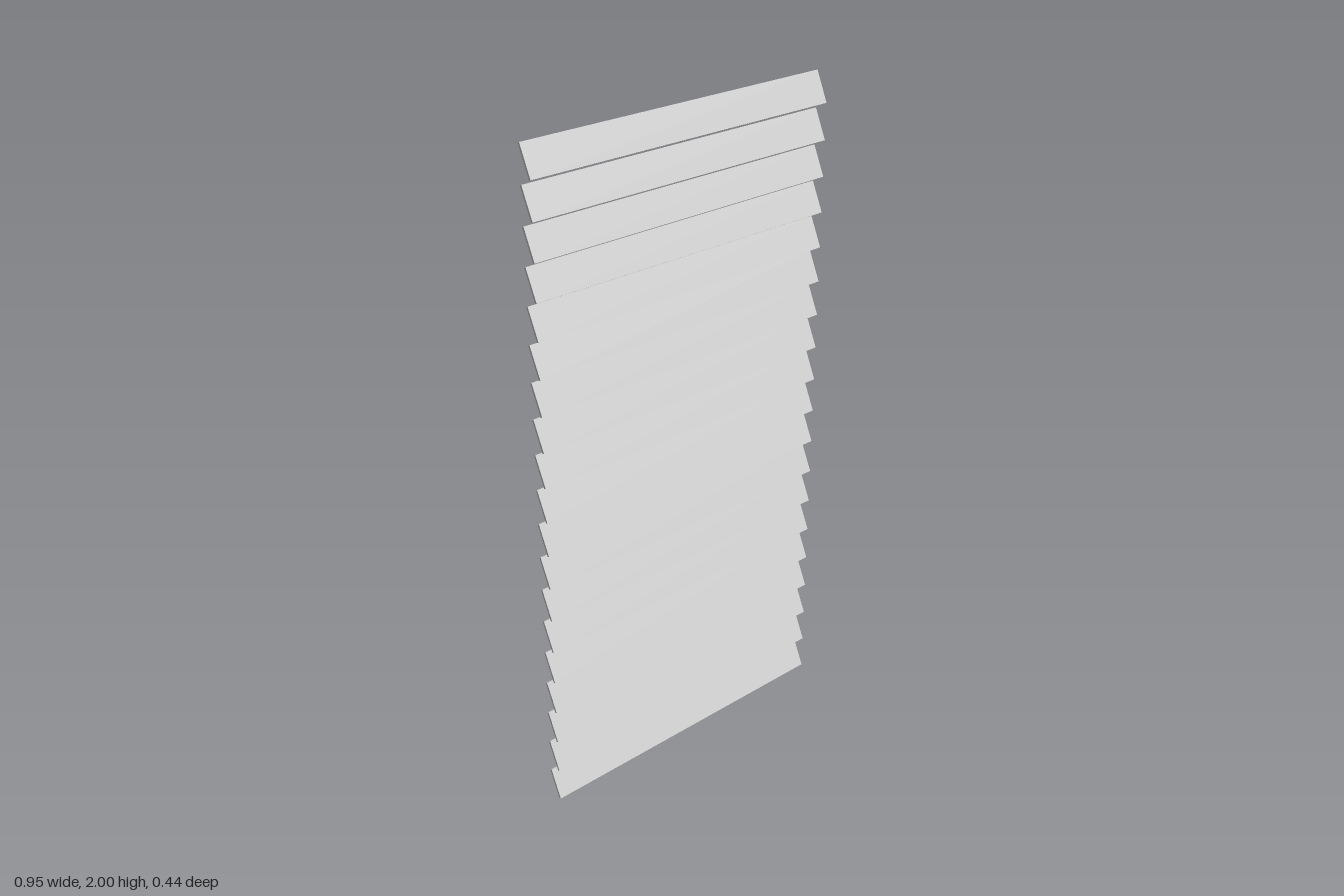
import * as THREE from 'three';

const SLATS = 19;
const LENGTH = 1.014, WIDTH = 0.094, THICKNESS = 0.007;
const TILT = THREE.MathUtils.degToRad(25);
const YAW = THREE.MathUtils.degToRad(23.2);

export function createModel() {
  const model = new THREE.Group();
  model.name = 'louverBlind';

  const material = new THREE.MeshStandardMaterial({ color: 0xcccccc, flatShading: true });
  const geometry = new THREE.BoxGeometry(LENGTH, WIDTH, THICKNESS);

  // Height of one tilted slat and the even spacing that fills 2 units
  const slatHeight = WIDTH * Math.cos(TILT) + THICKNESS * Math.sin(TILT);
  const pitch = (2 - slatHeight) / (SLATS - 1);

  // Stack of slats, each leaning back at its top edge
  for (let i = 0; i < SLATS; i++) {
    const slat = new THREE.Mesh(geometry, material);
    slat.name = `slat${i + 1}`;
    slat.position.y = slatHeight / 2 + i * pitch;
    slat.rotation.x = -TILT;
    model.add(slat);
  }

  // The whole blind is turned about the vertical axis
  model.rotation.y = YAW;
  return model;
}
